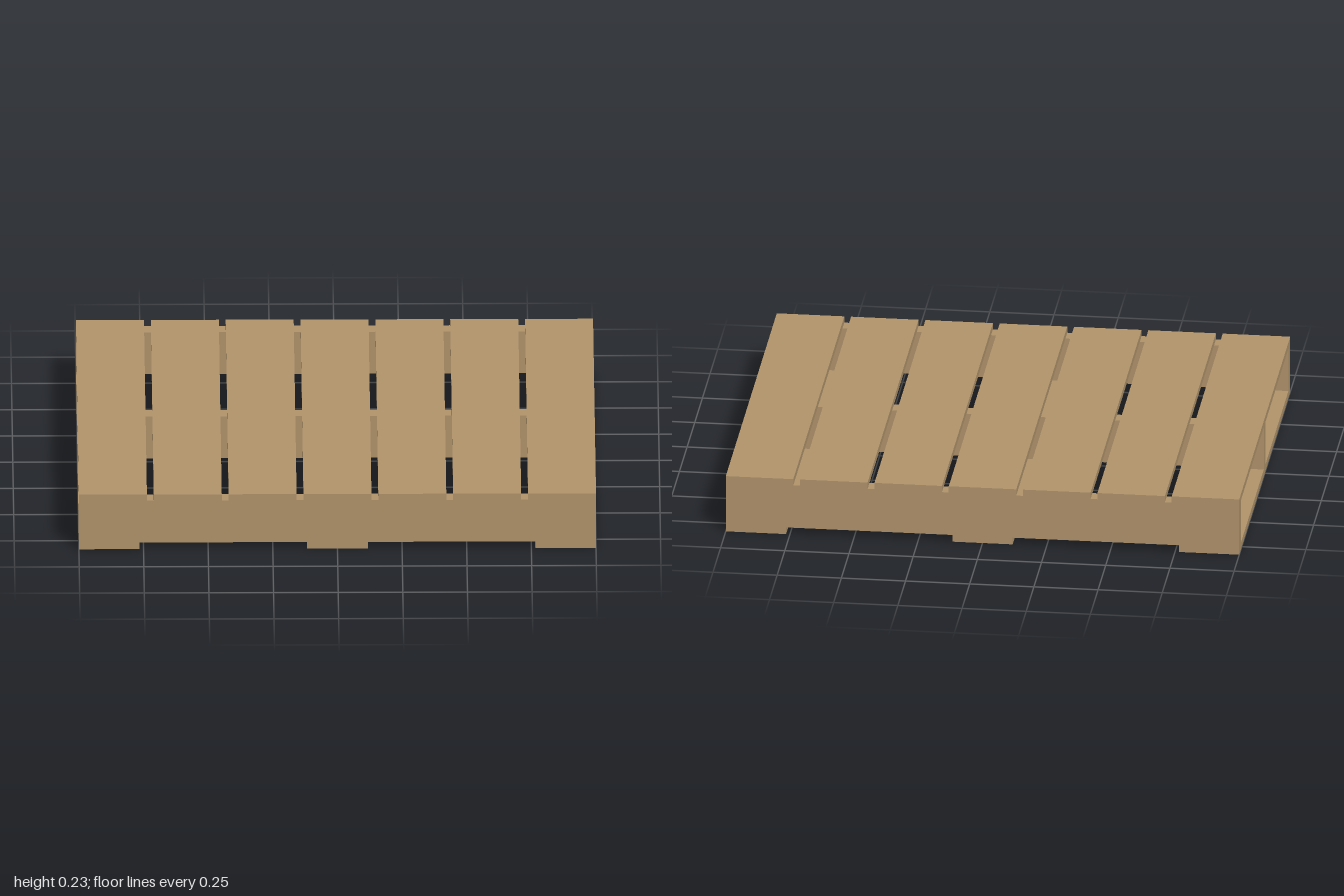
import * as THREE from 'three';

export function createModel() {
  const pallet = new THREE.Group();
  pallet.name = 'pallet';

  const wood = new THREE.MeshStandardMaterial({ color: 0xb3956c });
  wood.name = 'wood';

  const length = 2, depth = 1.664, height = 0.231;
  const deckThickness = 0.026, baseThickness = 0.028;

  // A plank resting at height y, centred on x and z
  function plank(name, [w, h, d], x, y, z) {
    const mesh = new THREE.Mesh(new THREE.BoxGeometry(w, h, d), wood);
    mesh.name = name;
    mesh.position.set(x, y + h / 2, z);
    pallet.add(mesh);
  }

  // Seven top deck boards with narrow gaps
  const deckWidth = 0.263;
  const pitch = (length - deckWidth) / 6;
  for (let i = 0; i < 7; i++) {
    plank('deckBoard' + (i + 1), [deckWidth, deckThickness, depth],
      (i - 3) * pitch, height - deckThickness, 0);
  }

  // Three stringers running left to right
  const stringerWidth = 0.06;
  const stringerHeight = height - deckThickness - baseThickness;
  ['back', 'middle', 'front'].forEach((side, i) => {
    plank(side + 'Stringer', [length, stringerHeight, stringerWidth],
      0, baseThickness, (i - 1) * (depth - stringerWidth) / 2);
  });

  // Three bottom boards
  const baseWidth = 0.235;
  ['right', 'middle', 'left'].forEach((side, i) => {
    plank(side + 'BottomBoard', [baseWidth, baseThickness, depth],
      (i - 1) * (length - baseWidth) / 2, 0, 0);
  });

  return pallet;
}
